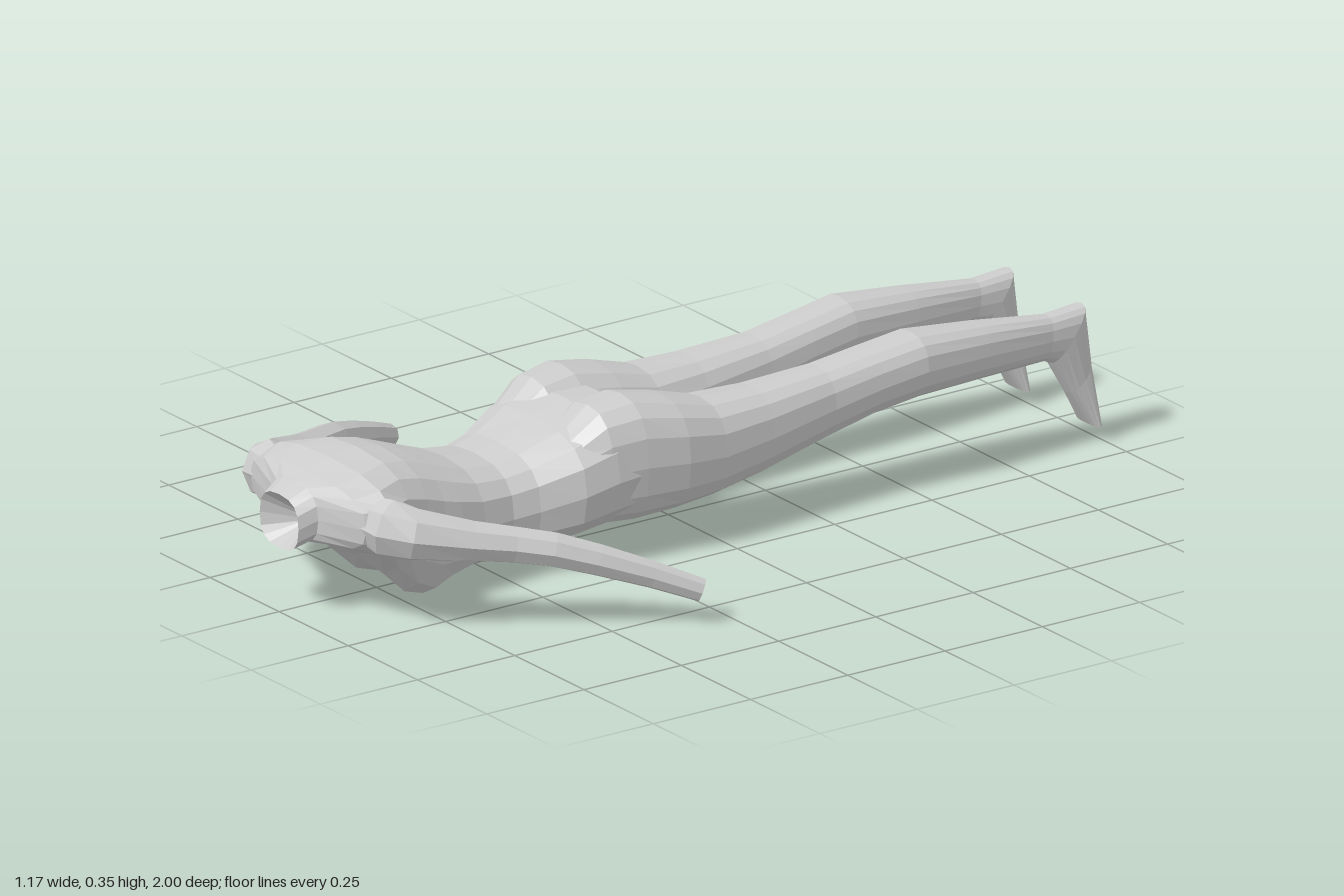
import * as THREE from 'three';

const SIDES = 16;
const material = new THREE.MeshStandardMaterial({ color: 0xcccccc, flatShading: true });
const V = (x, y, z) => new THREE.Vector3(x, y, z);
const soft = (v, e) => Math.sign(v) * Math.pow(Math.abs(v), e);

// Skin a list of rings, closing both ends with a fan.
function loft(name, rings) {
  const n = rings[0].length;
  const pos = [], idx = [];
  rings.forEach(r => r.forEach(p => pos.push(p.x, p.y, p.z)));
  for (let i = 0; i < rings.length - 1; i++) {
    for (let j = 0; j < n; j++) {
      const a = i * n + j, b = i * n + (j + 1) % n;
      idx.push(a, a + n, b, b, a + n, b + n);
    }
  }
  [0, rings.length - 1].forEach((r, end) => {
    const c = rings[r].reduce((s, p) => s.add(p), V(0, 0, 0)).divideScalar(n);
    const centre = pos.length / 3;
    pos.push(c.x, c.y, c.z);
    for (let j = 0; j < n; j++) {
      const a = r * n + j, b = r * n + (j + 1) % n;
      end ? idx.push(centre, b, a) : idx.push(centre, a, b);
    }
  });
  const g = new THREE.BufferGeometry();
  g.setAttribute('position', new THREE.Float32BufferAttribute(pos, 3));
  g.setIndex(idx);
  g.computeVertexNormals();
  const mesh = new THREE.Mesh(g, material);
  mesh.name = name;
  return mesh;
}

// Rounded ring around centre c with half axes u and v.
function ring(c, u, v, e = 1, n = SIDES) {
  return Array.from({ length: n }, (_, j) => {
    const t = (j / n) * Math.PI * 2;
    return c.clone().addScaledVector(u, soft(Math.cos(t), e)).addScaledVector(v, soft(Math.sin(t), e));
  });
}

// Torso: [z, half width, bottom, top, bust depth], starting inside the open neck.
function torso() {
  const sections = [
    [0.93, 0.008, 0.19, 0.21, 0],
    [1.0, 0.07, 0.15, 0.27, 0],
    [0.96, 0.085, 0.165, 0.29, 0],
    [0.925, 0.21, 0.165, 0.305, 0],
    [0.87, 0.235, 0.14, 0.325, 0],
    [0.8, 0.195, 0.09, 0.333, 0.02],
    [0.74, 0.18, 0.055, 0.322, 0.045],
    [0.69, 0.172, 0.037, 0.305, 0.045],
    [0.645, 0.168, 0.035, 0.288, 0.015],
    [0.58, 0.157, 0.037, 0.265, 0],
    [0.5, 0.147, 0.042, 0.255, 0],
    [0.44, 0.16, 0.046, 0.267, 0],
    [0.35, 0.2, 0.057, 0.305, 0],
    [0.27, 0.208, 0.068, 0.33, 0],
    [0.19, 0.208, 0.08, 0.33, 0],
    [0.12, 0.19, 0.1, 0.3, 0],
    [0.06, 0.1, 0.14, 0.25, 0],
  ];
  return loft('torso', sections.map(([z, w, y0, y1, bust]) => {
    const mid = (y0 + y1) / 2;
    const r = ring(V(0, mid, z), V(w, 0, 0), V(0, (y1 - y0) / 2, 0), 0.75);
    r.forEach(p => {
      if (p.y < mid - 0.03) p.y -= bust * Math.exp(-(((Math.abs(p.x) - 0.105) / 0.05) ** 2));
    });
    return r;
  }));
}

// Leg and foot: [inner x, outer x, front z, front y, back z, back y].
function leg(side, name) {
  const sections = [
    [0.02, 0.17, 0.36, 0.11, 0.36, 0.28],
    [0.003, 0.198, 0.28, 0.085, 0.28, 0.345],
    [0.0, 0.212, 0.2, 0.08, 0.2, 0.356],
    [0.0, 0.224, 0.1, 0.087, 0.1, 0.335],
    [0.012, 0.215, 0, 0.096, 0, 0.306],
    [0.03, 0.202, -0.13, 0.118, -0.13, 0.303],
    [0.045, 0.187, -0.3, 0.157, -0.3, 0.31],
    [0.05, 0.192, -0.42, 0.186, -0.42, 0.326],
    [0.056, 0.199, -0.53, 0.202, -0.53, 0.341],
    [0.074, 0.182, -0.7, 0.204, -0.7, 0.325],
    [0.097, 0.164, -0.865, 0.205, -0.88, 0.303],
    [0.095, 0.165, -0.885, 0.195, -0.97, 0.31],
    [0.098, 0.163, -0.93, 0.12, -0.985, 0.18],
    [0.087, 0.172, -0.98, 0.04, -1.0, 0.04],
  ];
  return loft(name, sections.map(([x0, x1, za, ya, zb, yb]) => ring(
    V(side * (x0 + x1) / 2, (ya + yb) / 2, (za + zb) / 2),
    V((x1 - x0) / 2, 0, 0),
    V(0, (yb - ya) / 2, (zb - za) / 2), 0.8)));
}

// Arm: [x, y, z, half width, half height], swept from shoulder to wrist.
function arm(side, name) {
  const sections = [
    [0.15, 0.24, 0.885, 0.05, 0.05],
    [0.215, 0.232, 0.87, 0.06, 0.065],
    [0.255, 0.222, 0.835, 0.056, 0.058],
    [0.315, 0.203, 0.73, 0.049, 0.045],
    [0.36, 0.191, 0.65, 0.042, 0.04],
    [0.402, 0.178, 0.58, 0.042, 0.038],
    [0.45, 0.152, 0.5, 0.036, 0.035],
    [0.51, 0.115, 0.4, 0.027, 0.03],
    [0.565, 0.079, 0.315, 0.022, 0.026],
  ];
  const pts = sections.map(([x, y, z]) => V(side * x, y, z));
  return loft(name, pts.map((p, i) => {
    const d = pts[Math.min(i + 1, pts.length - 1)].clone().sub(pts[Math.max(i - 1, 0)]).normalize();
    const up = V(0, 1, 0).addScaledVector(d, -d.y).normalize();
    const across = d.clone().cross(up);
    const [, , , w, h] = sections[i];
    return ring(p, across.multiplyScalar(w), up.multiplyScalar(h), 1, 8);
  }));
}

export function createModel() {
  const model = new THREE.Group();
  model.name = 'proneFigure';
  model.add(torso());
  for (const [side, label] of [[1, 'left'], [-1, 'right']]) {
    model.add(leg(side, label + 'Leg'), arm(side, label + 'Arm'));
  }
  return model;
}
